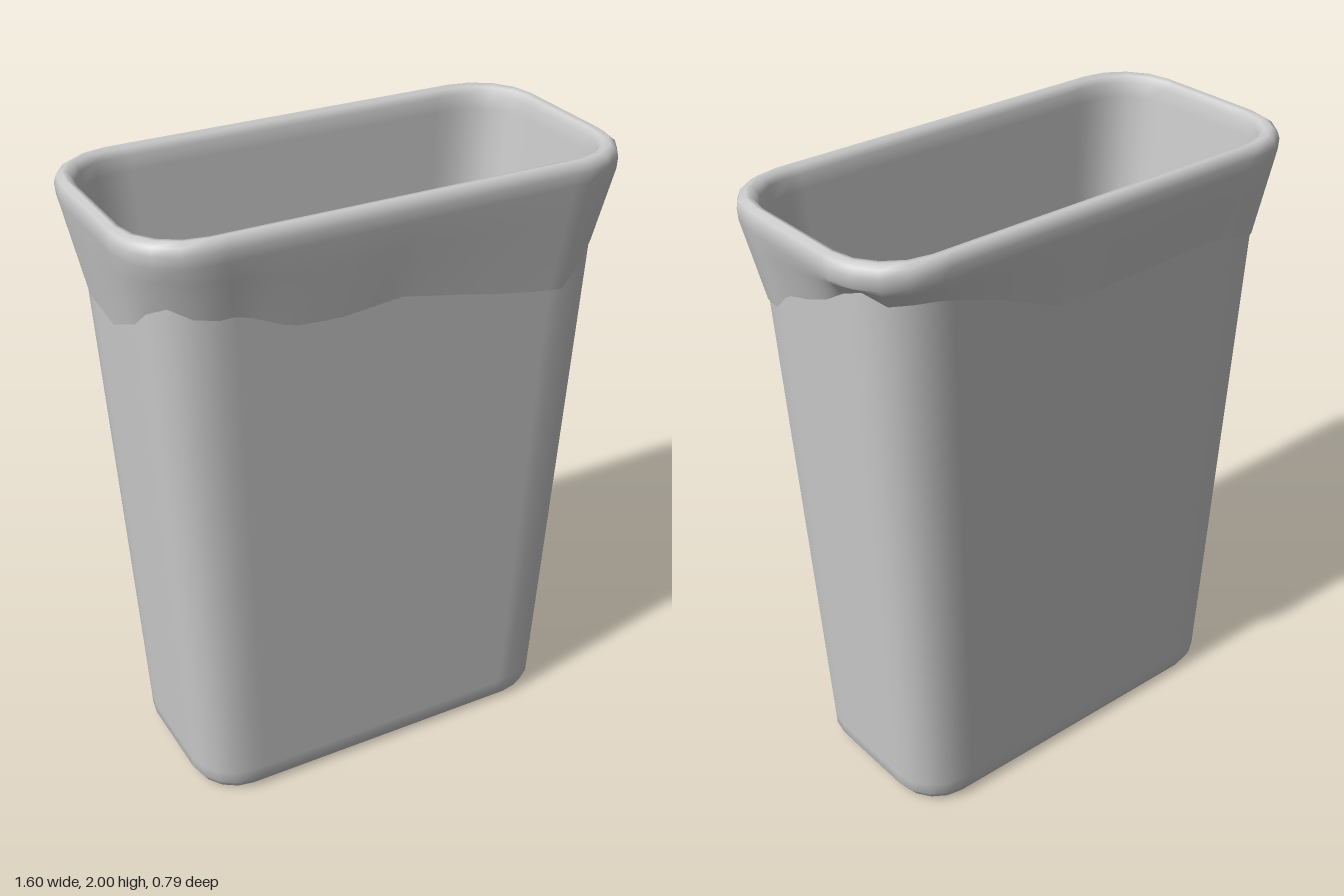
import * as THREE from 'three';

const CORNER = 4, LONG = 24, SHORT = 12;

// Rounded rectangle in the xz plane as a closed ring of points, starting at +x
function ring(y, hx, hz, r) {
  const pts = [];
  const corners = [[1, 1], [-1, 1], [-1, -1], [1, -1]];
  corners.forEach(([sx, sz], q) => {
    const cx = sx * (hx - r), cz = sz * (hz - r);
    for (let i = 0; i <= CORNER; i++) {
      const a = (q + i / CORNER) * Math.PI / 2;
      pts.push(new THREE.Vector3(cx + r * Math.cos(a), y, cz + r * Math.sin(a)));
    }
    // straight side that follows this corner
    const n = q % 2 ? SHORT : LONG;
    const from = pts[pts.length - 1];
    const [nx, nz] = corners[(q + 1) % 4];
    const a = (q + 1) * Math.PI / 2;
    const to = new THREE.Vector3(nx * (hx - r) + r * Math.cos(a), y, nz * (hz - r) + r * Math.sin(a));
    for (let i = 1; i < n; i++) pts.push(from.clone().lerp(to, i / n));
  });
  return pts;
}

// Skin over a stack of rings, with optional flat caps at either end
function loft(rings, capStart, capEnd) {
  const n = rings[0].length, pos = [], idx = [];
  const add = (p) => pos.push(p.x, p.y, p.z) / 3 - 1;
  rings.forEach((r) => r.forEach(add));
  for (let i = 0; i < rings.length - 1; i++) {
    for (let j = 0; j < n; j++) {
      const k = (j + 1) % n, a = i * n, b = a + n;
      idx.push(a + j, b + j, a + k, a + k, b + j, b + k);
    }
  }
  const cap = (r, up) => {
    const c = add(new THREE.Vector3(0, r[0].y, 0));
    const first = c + 1;
    r.forEach(add);
    for (let j = 0; j < n; j++) {
      const k = (j + 1) % n;
      idx.push(c, first + (up ? k : j), first + (up ? j : k));
    }
  };
  if (capStart) cap(rings[0], false);
  if (capEnd) cap(rings[rings.length - 1], true);
  const g = new THREE.BufferGeometry();
  g.setAttribute('position', new THREE.Float32BufferAttribute(pos, 3));
  g.setIndex(idx);
  g.computeVertexNormals();
  return g;
}

// Tapered outer wall of the bin at height y
function wall(y, grow = 0) {
  const t = (y - 0.04) / 1.9;
  return ring(y, 0.643 + 0.109 * t + grow, 0.305 + 0.055 * t + grow, 0.15 + 0.03 * t);
}

// Ragged hem of the liner: [x, z, height] around the bin, in half-width units
const HEM = [
  [1, 0, 1.78], [1, 0.3, 1.75], [1, 0.55, 1.67], [1, 0.75, 1.68], [0.95, 0.88, 1.7],
  [0.88, 0.95, 1.68], [0.75, 1, 1.585], [0.53, 1, 1.61], [0.27, 1, 1.65], [0, 1, 1.69],
  [-0.27, 1, 1.67], [-0.47, 1, 1.68], [-0.67, 1, 1.75], [-0.8, 1, 1.75], [-0.97, 0.85, 1.8],
  [-1, 0.5, 1.7], [-1, 0, 1.62], [-1, -0.5, 1.64], [-0.93, -0.93, 1.66], [-0.6, -1, 1.72],
  [-0.2, -1, 1.71], [0.2, -1, 1.7], [0.5, -1, 1.8], [0.8, -1, 1.87], [0.95, -0.9, 1.86],
  [1, -0.75, 1.9], [1, -0.55, 1.88], [1, -0.28, 1.82],
].map(([x, z, y]) => [(Math.atan2(z, x) + 2 * Math.PI) % (2 * Math.PI), y]);
HEM.push([2 * Math.PI, HEM[0][1]]);

function hemHeight(p) {
  const a = (Math.atan2(p.z / 0.35, p.x / 0.74) + 2 * Math.PI) % (2 * Math.PI);
  let i = 0;
  while (i < HEM.length - 2 && HEM[i + 1][0] < a) i++;
  const t = (a - HEM[i][0]) / (HEM[i + 1][0] - HEM[i][0]);
  return THREE.MathUtils.lerp(HEM[i][1], HEM[i + 1][1], t);
}

export function createModel() {
  const group = new THREE.Group();
  const material = new THREE.MeshStandardMaterial({ color: 0xcccccc, side: THREE.DoubleSide });
  const part = (name, geometry) => {
    const mesh = new THREE.Mesh(geometry, material);
    mesh.name = name;
    group.add(mesh);
  };

  // Bin body with a softly rounded base
  part('binBody', loft([
    ring(0, 0.6, 0.275, 0.12),
    ring(0.01, 0.622, 0.29, 0.135),
    ring(0.04, 0.643, 0.305, 0.15),
    wall(0.08), wall(0.7), wall(1.35), wall(1.94),
  ], true, false));

  // Liner skirt: from the ragged hem against the wall out to the rim
  const lip = ring(1.93, 0.797, 0.392, 0.197);
  const hem = wall(1.7).map((p, j) => {
    const y = hemHeight(p);
    return wall(y, 0.003)[j];
  });
  const between = (t) => hem.map((p, j) => p.clone().lerp(lip[j], t));

  // Rolled rim, then the liner hanging down inside to its floor
  part('binLiner', loft([
    hem, between(0.33), between(0.67), lip,
    ring(1.965, 0.8, 0.394, 0.2),
    ring(1.988, 0.793, 0.387, 0.195),
    ring(2, 0.778, 0.372, 0.19),
    ring(1.995, 0.762, 0.35, 0.18),
    ring(1.975, 0.75, 0.338, 0.175),
    ring(1.93, 0.744, 0.333, 0.17),
    ring(1.0, 0.65, 0.288, 0.155),
    ring(0.1, 0.555, 0.245, 0.13),
    ring(0.07, 0.53, 0.225, 0.11),
  ], false, true));

  return group;
}
